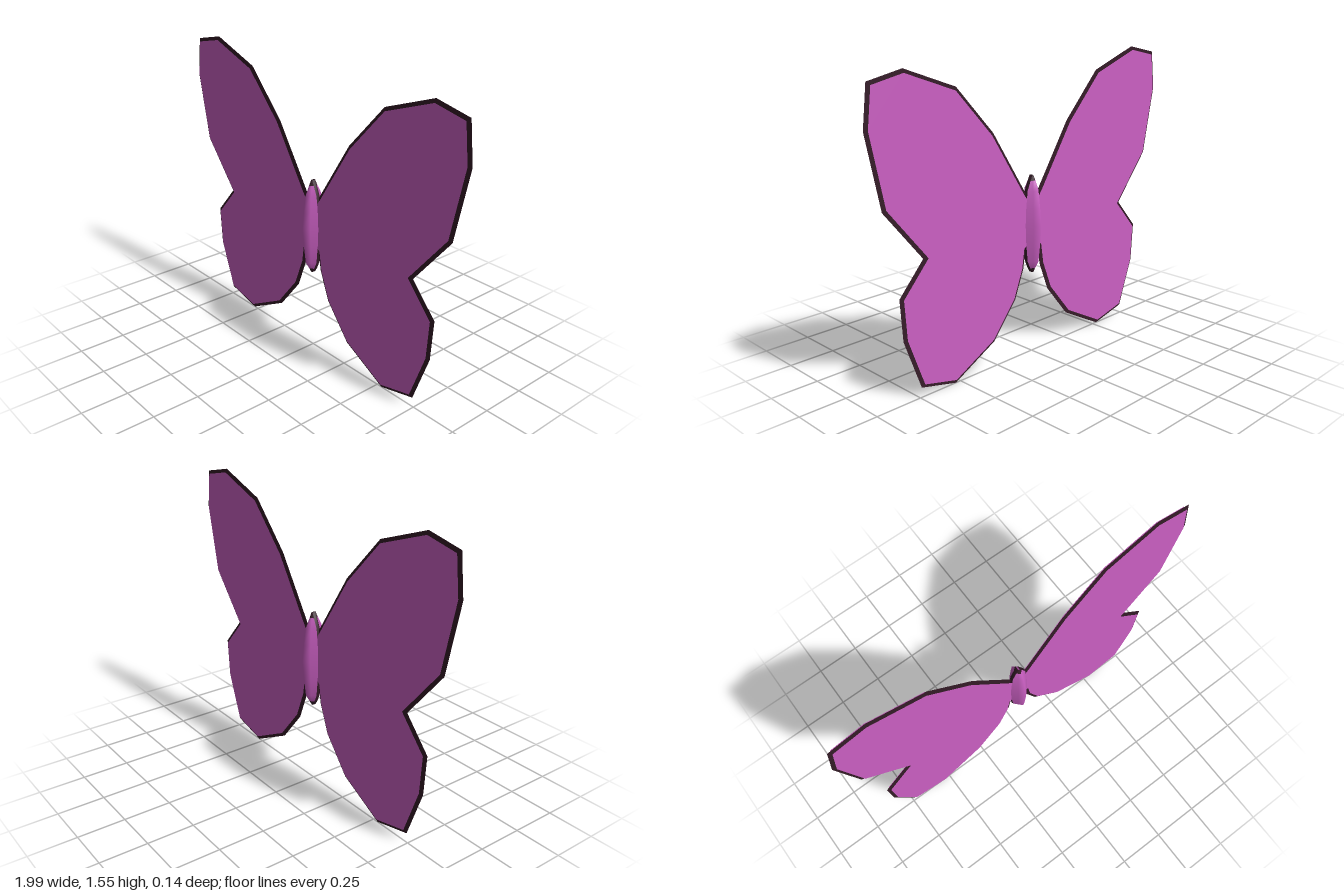
import * as THREE from 'three';

// Wing outline for the +x side, clockwise from the upper root
const OUTLINE = [
  [0.02, 0.85], [0.05, 0.89], [0.26, 1.215], [0.485, 1.455], [0.78, 1.56], [0.97, 1.52], [0.995, 1.315],
  [0.92, 0.95], [0.705, 0.69], [0.848, 0.53], [0.835, 0.318], [0.74, 0.055], [0.53, 0.005],
  [0.27, 0.142], [0.12, 0.325], [0.06, 0.48], [0.045, 0.58], [0.02, 0.6],
].map(([x, y]) => new THREE.Vector2(x, y));

// Body rings: y, half width in x, half depth in z
const RINGS = [
  [0.45, 0.005, 0.012], [0.475, 0.022, 0.026], [0.515, 0.042, 0.05], [0.61, 0.053, 0.062], [0.71, 0.058, 0.071],
  [0.80, 0.053, 0.062], [0.89, 0.042, 0.05], [0.94, 0.018, 0.024], [0.967, 0.004, 0.012],
];
const RIM = 0.01;

// Moves every edge of a clockwise outline inwards by d, with mitred corners
function inset(points, d) {
  const n = points.length;
  return points.map((p, i) => {
    const a = p.clone().sub(points[(i + n - 1) % n]).normalize();
    const b = points[(i + 1) % n].clone().sub(p).normalize();
    const na = new THREE.Vector2(a.y, -a.x), nb = new THREE.Vector2(b.y, -b.x);
    return p.clone().addScaledVector(na.clone().add(nb), d / (1 + na.dot(nb)));
  });
}

// Surface through cross-sections running up the body; sections go counterclockwise seen from outside
function loft(sections) {
  const cols = sections[0].length, pos = sections.flat(2), index = [];
  for (let r = 0; r < sections.length - 1; r++) {
    for (let c = 0; c < cols - 1; c++) {
      const a = r * cols + c, b = a + 1, d = a + cols, e = d + 1;
      index.push(a, b, e, a, e, d);
    }
  }
  const geo = new THREE.BufferGeometry();
  geo.setAttribute('position', new THREE.Float32BufferAttribute(pos, 3));
  geo.setIndex(index);
  geo.computeVertexNormals();
  return geo;
}

export function createModel() {
  const model = new THREE.Group();
  model.name = 'butterfly';
  const purple = new THREE.MeshStandardMaterial({ color: 0xcc60c4, side: THREE.DoubleSide });
  purple.name = 'orchid purple';
  const dark = new THREE.MeshStandardMaterial({ color: 0x351c28, side: THREE.DoubleSide });
  dark.name = 'dark brown';

  const add = (parent, name, geo, mat, z = 0) => {
    const mesh = new THREE.Mesh(geo, mat);
    mesh.name = name;
    mesh.position.z = z;
    parent.add(mesh);
    return mesh;
  };

  // Wings: a dark sheet with a slightly smaller purple sheet on each side
  for (const side of [1, -1]) {
    const wing = new THREE.Group();
    wing.name = side > 0 ? 'leftWing' : 'rightWing';
    const sheet = (pts) => new THREE.ShapeGeometry(
      new THREE.Shape(pts.map((p) => new THREE.Vector2(p.x * side, p.y))));
    const panel = sheet(inset(OUTLINE, 0.018));
    add(wing, 'wingBorder', sheet(OUTLINE), dark);
    add(wing, 'frontPanel', panel, purple, RIM);
    add(wing, 'backPanel', panel, purple, -RIM).rotation.y = 0;
    model.add(wing);
  }

  // Body: purple front and back shells joined by a dark rim, with dark tips
  const body = new THREE.Group();
  body.name = 'body';
  const half = (s) => ([y, w, d]) => [
    [-0.9 * w * s, y, RIM * s], [-0.45 * w * s, y, (RIM + d) * 0.52 * s], [0, y, d * s],
    [0.45 * w * s, y, (RIM + d) * 0.52 * s], [0.9 * w * s, y, RIM * s],
  ];
  for (const s of [1, -1]) {
    const end = s > 0 ? 'front' : 'back';
    add(body, end + 'Shell', loft(RINGS.slice(1, -1).map(half(s))), purple);
    add(body, end + 'LowerTip', loft(RINGS.slice(0, 2).map(half(s))), dark);
    add(body, end + 'UpperTip', loft(RINGS.slice(-2).map(half(s))), dark);
    add(body, s > 0 ? 'leftRim' : 'rightRim', loft(RINGS.map(([y, w]) => [
      [0.9 * w * s, y, RIM * s], [w * s, y, 0], [0.9 * w * s, y, -RIM * s],
    ])), dark);
  }
  model.add(body);
  return model;
}
